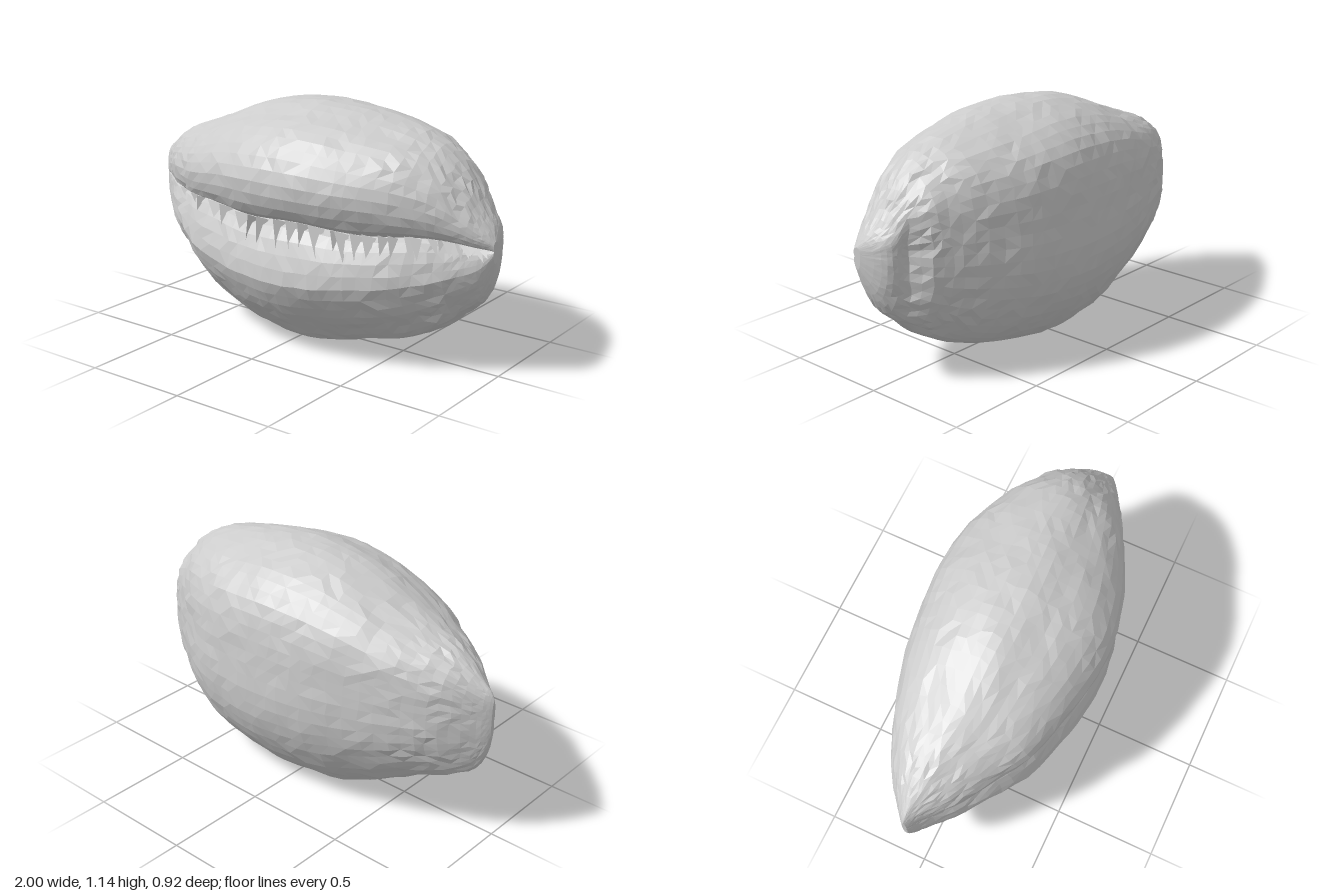
import * as THREE from 'three';

// Stations along the length: x, top y, bottom y, back z, front z
const STATIONS = [
  [-1, 0.73, 0.54, -0.066, -0.044],
  [-0.98, 0.765, 0.45, -0.085, -0.025],
  [-0.93, 0.805, 0.36, -0.125, 0.015],
  [-0.82, 0.885, 0.29, -0.21, 0.115],
  [-0.68, 0.94, 0.235, -0.287, 0.21],
  [-0.5, 1.01, 0.13, -0.357, 0.33],
  [-0.28, 1.096, 0.04, -0.415, 0.395],
  [-0.1, 1.132, 0.015, -0.445, 0.437],
  [0.08, 1.146, 0.003, -0.463, 0.453],
  [0.26, 1.13, 0.028, -0.453, 0.43],
  [0.42, 1.105, 0.065, -0.42, 0.385],
  [0.6, 1.065, 0.113, -0.335, 0.31],
  [0.74, 0.99, 0.19, -0.245, 0.235],
  [0.84, 0.885, 0.272, -0.19, 0.18],
  [0.92, 0.77, 0.345, -0.115, 0.14],
  [0.97, 0.705, 0.44, -0.05, 0.11],
  [1, 0.65, 0.55, 0.05, 0.09],
];

// Cross-section around the body, starting in the slit: height from slit, depth
const PROFILE = [
  [0.02, 0.68], [0.06, 0.82], [0.13, 0.92], [0.32, 1], [0.46, 0.99], [0.67, 0.85],
  [0.84, 0.6], [0.91, 0.4], [0.98, 0.2], [1, 0], [0.98, -0.2], [0.91, -0.44],
  [0.82, -0.64], [0.65, -0.84], [0.4, -0.94], [0.1, -0.98], [-0.15, -1], [-0.4, -0.95],
  [-0.68, -0.78], [-0.83, -0.62], [-0.93, -0.46], [-0.99, -0.2], [-1, 0], [-0.98, 0.2],
  [-0.94, 0.43], [-0.82, 0.61], [-0.67, 0.8], [-0.52, 0.93], [-0.4, 1], [-0.25, 0.96],
  [-0.11, 0.88], [-0.02, 0.8],
];

const SLIT_Y = 0.615;

function seeded(seed) {
  return () => {
    seed = (seed * 16807) % 2147483647;
    return seed / 2147483647;
  };
}

// One smooth curve per station column, all sharing the same parameter
const columns = [1, 2, 3, 4].map(
  (k) => new THREE.SplineCurve(STATIONS.map((s) => new THREE.Vector2(s[0], s[k])))
);

function station(u) {
  const [top, bottom, back, front] = columns.map((c) => c.getPoint(u).y);
  return { x: columns[0].getPoint(u).x, top, bottom, back, front };
}

// The slit wanders a little along its length
function surfacePoint(s, t, w) {
  const wave = w > 0.5 ? 0.01 * Math.sin(11 * s.x) * Math.max(0, 1 - Math.abs(t) * 4) : 0;
  const y = SLIT_Y + wave + t * (t > 0 ? s.top - SLIT_Y : SLIT_Y - s.bottom);
  const z = (s.front + s.back) / 2 + (w * (s.front - s.back)) / 2;
  return new THREE.Vector3(s.x, y, z);
}

const bell = (v, centre, width) => Math.exp(-(((v - centre) / width) ** 2));

// Pod body: lofted rings with slightly uneven facets
function bodyGeometry() {
  const rand = seeded(77);
  const rows = (STATIONS.length - 1) * 3;
  const around = 60;
  const loop = new THREE.CatmullRomCurve3(
    PROFILE.map(([t, w]) => new THREE.Vector3(w, t, 0)), true
  );
  const ring = loop.getSpacedPoints(around).slice(0, around);
  const pos = [];
  const index = [];

  for (let i = 0; i <= rows; i++) {
    const s = station(i / rows);
    const fade = Math.min(1, (1 - Math.abs(s.x)) * 5);
    for (const q of ring) {
      const p = surfacePoint(s, q.y, q.x);
      // broad lumps and fine roughness
      const lump = 0.008 * Math.sin(7 * p.x + 5 * p.y) * Math.sin(9 * p.z + 4 * p.x);
      const k = 1 + fade * (lump + (rand() - 0.5) * 0.013);
      p.y = SLIT_Y + (p.y - SLIT_Y) * k;
      p.z *= k;
      p.x += (rand() - 0.5) * 0.018 * fade;
      // crease behind the knob at the left tip
      if (q.x < 0) p.z -= 0.06 * q.x * bell(s.x, 0.87, 0.045) * bell(q.y, 0, 0.75);
      pos.push(p.x, p.y, p.z);
    }
  }

  for (let i = 0; i < rows; i++) {
    for (let j = 0; j < around; j++) {
      const n = (j + 1) % around;
      const a = i * around + j, b = i * around + n;
      const c = a + around, d = b + around;
      if (rand() < 0.5) index.push(a, c, b, b, c, d);
      else index.push(a, c, d, a, d, b);
    }
  }

  // close both tips
  for (const [row, dir] of [[0, -1], [rows, 1]]) {
    const s = station(row / rows);
    const centre = pos.length / 3;
    pos.push(s.x, (s.top + s.bottom) / 2, (s.front + s.back) / 2);
    for (let j = 0; j < around; j++) {
      const a = row * around + j, b = row * around + ((j + 1) % around);
      if (dir > 0) index.push(centre, b, a);
      else index.push(centre, a, b);
    }
  }

  const geo = new THREE.BufferGeometry();
  geo.setAttribute('position', new THREE.Float32BufferAttribute(pos, 3));
  geo.setIndex(index);
  geo.computeVertexNormals();
  return geo;
}

// Jagged folds bridging the slit down to the lower lip, denser toward +x
function foldGeometry() {
  const rand = seeded(412);
  const pos = [];
  for (let i = 0; i < 30; i++) {
    const u = 0.16 + 0.74 * (i / 29) ** 0.7 + (rand() - 0.5) * 0.02;
    const s = station(u);
    const root = surfacePoint(s, 0.06, 0.83);
    const tip = surfacePoint(s, -0.05 - rand() * 0.15, 0.91);
    const inner = surfacePoint(s, 0.02, 0.72);
    const width = 0.01 + rand() * 0.025;
    root.x -= width;
    inner.x += width;
    tip.x += rand() * 0.05;
    for (const p of [root, tip, inner]) pos.push(p.x, p.y, p.z);
  }
  const geo = new THREE.BufferGeometry();
  geo.setAttribute('position', new THREE.Float32BufferAttribute(pos, 3));
  geo.computeVertexNormals();
  return geo;
}

export function createModel() {
  const group = new THREE.Group();
  group.name = 'splitPod';
  const material = new THREE.MeshStandardMaterial({
    color: 0xcccccc, flatShading: true, side: THREE.DoubleSide,
  });
  const add = (name, geometry) => {
    const mesh = new THREE.Mesh(geometry, material);
    mesh.name = name;
    group.add(mesh);
  };
  add('podBody', bodyGeometry());
  add('slitFolds', foldGeometry());
  return group;
}
